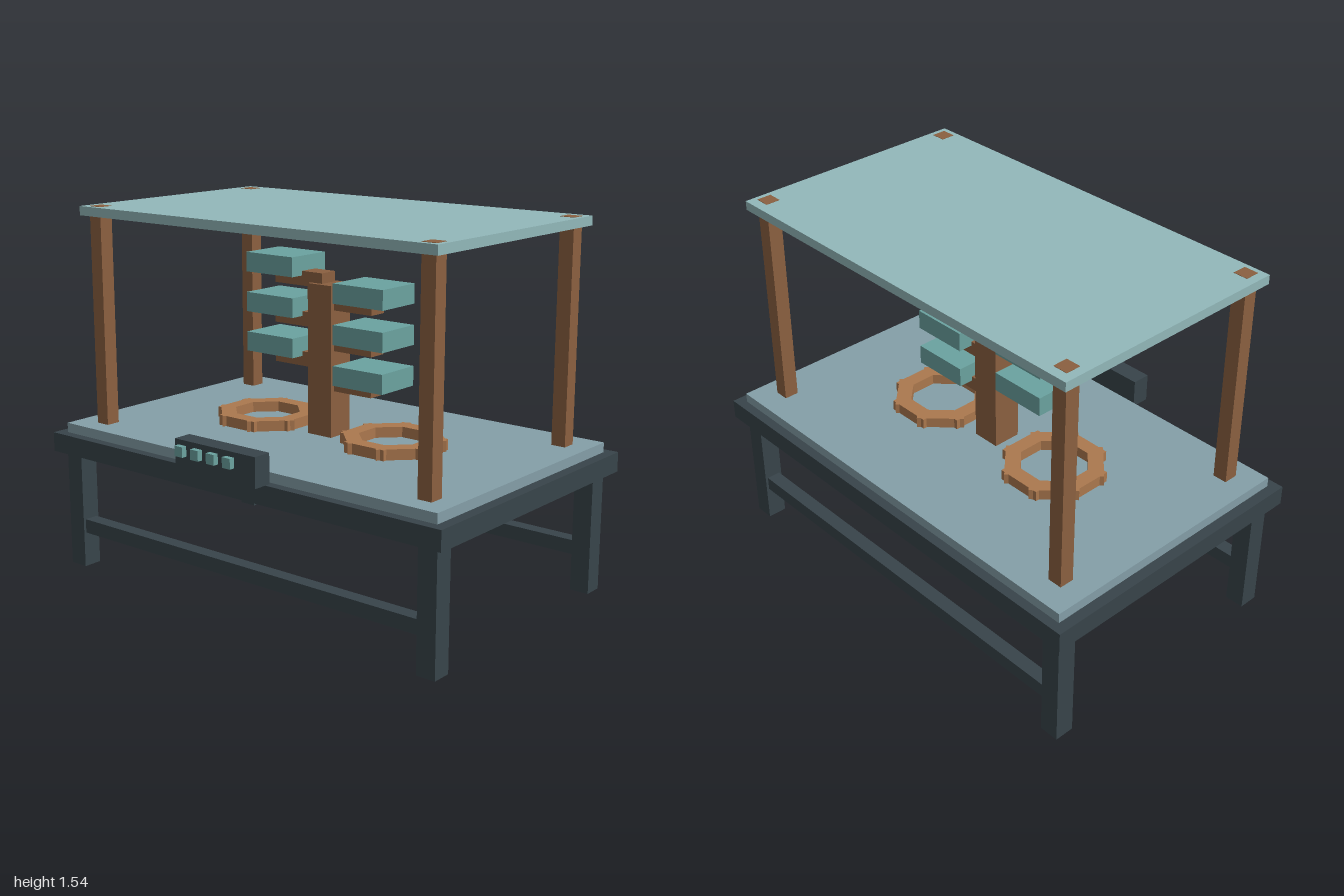
import * as THREE from 'three';

const paint = (color) => new THREE.MeshStandardMaterial({ color });

export function createModel() {
  const model = new THREE.Group();
  const dark = paint(0x38444a);
  const wood = paint(0x8b6040);
  const lightWood = paint(0xab784e);
  const teal = paint(0x6ba3a0);
  const paleTeal = paint(0x92b8ba);
  const blueGrey = paint(0x849fa8);

  // Box given by its extents along each axis
  function box(name, material, [x0, x1], [y0, y1], [z0, z1], parent = model) {
    const mesh = new THREE.Mesh(new THREE.BoxGeometry(x1 - x0, y1 - y0, z1 - z0), material);
    mesh.position.set((x0 + x1) / 2, (y0 + y1) / 2, (z0 + z1) / 2);
    mesh.name = name;
    parent.add(mesh);
    return mesh;
  }
  const span = (centre, size) => [centre - size / 2, centre + size / 2];

  // Table
  box('tableTop', dark, [-1, 1], [0.503, 0.585], [-0.665, 0.582]);
  box('surfacePanel', blueGrey, [-0.955, 0.955], [0.585, 0.626], [-0.625, 0.542]);
  for (const z of [0.502, -0.583]) {
    for (const x of [-0.917, 0.917]) box('tableLeg', dark, span(x, 0.083), [0, 0.503], span(z, 0.083));
    box('stretcher', dark, [-0.9, 0.9], [0.15, 0.21], span(z, 0.06));
  }

  // Canopy on four posts whose ends show through the roof
  box('canopy', paleTeal, [-0.895, 0.893], [1.504, 1.542], [-0.562, 0.48]);
  for (const x of [-0.827, 0.84]) {
    for (const z of [0.427, -0.49]) box('canopyPost', wood, span(x, 0.062), [0.626, 1.5435], span(z, 0.062));
  }

  // Central trunk with alternating branches and trays
  const trunkZ = -0.04;
  box('trunk', wood, [-0.061, 0.06], [0.626, 1.252], span(trunkZ, 0.123));
  for (let i = 0; i < 6; i++) {
    const right = i % 2 === 0;
    const y = 0.818 + i * 0.0833;
    box('branch', wood, right ? [0, 0.248] : [-0.252, -0.003], [y, y + 0.06], span(trunkZ, 0.083));
    box('tray', teal, right ? [0.103, 0.35] : [-0.354, -0.107], [y + 0.041, y + 0.122], span(trunkZ, 0.208));
  }

  // Rings of eight overlapping blocks
  for (const x of [-0.337, 0.333]) {
    const ring = new THREE.Group();
    ring.name = 'blockRing';
    ring.position.set(x, 0.626, trunkZ);
    for (let i = 0; i < 8; i++) {
      const spoke = new THREE.Group();
      spoke.rotation.y = (i * Math.PI) / 4;
      box('ringBlock', lightWood, [0.133, 0.196], [0, 0.044], [-0.098, 0.098], spoke);
      ring.add(spoke);
    }
    model.add(ring);
  }

  // Control box with four buttons
  box('controlBox', dark, [-0.21, 0.205], [0.588, 0.711], [0.565, 0.645]);
  for (let i = 0; i < 4; i++) {
    box('button', teal, span(-0.17 + i * 0.083, 0.041), [0.648, 0.69], [0.64, 0.668]);
  }

  return model;
}
